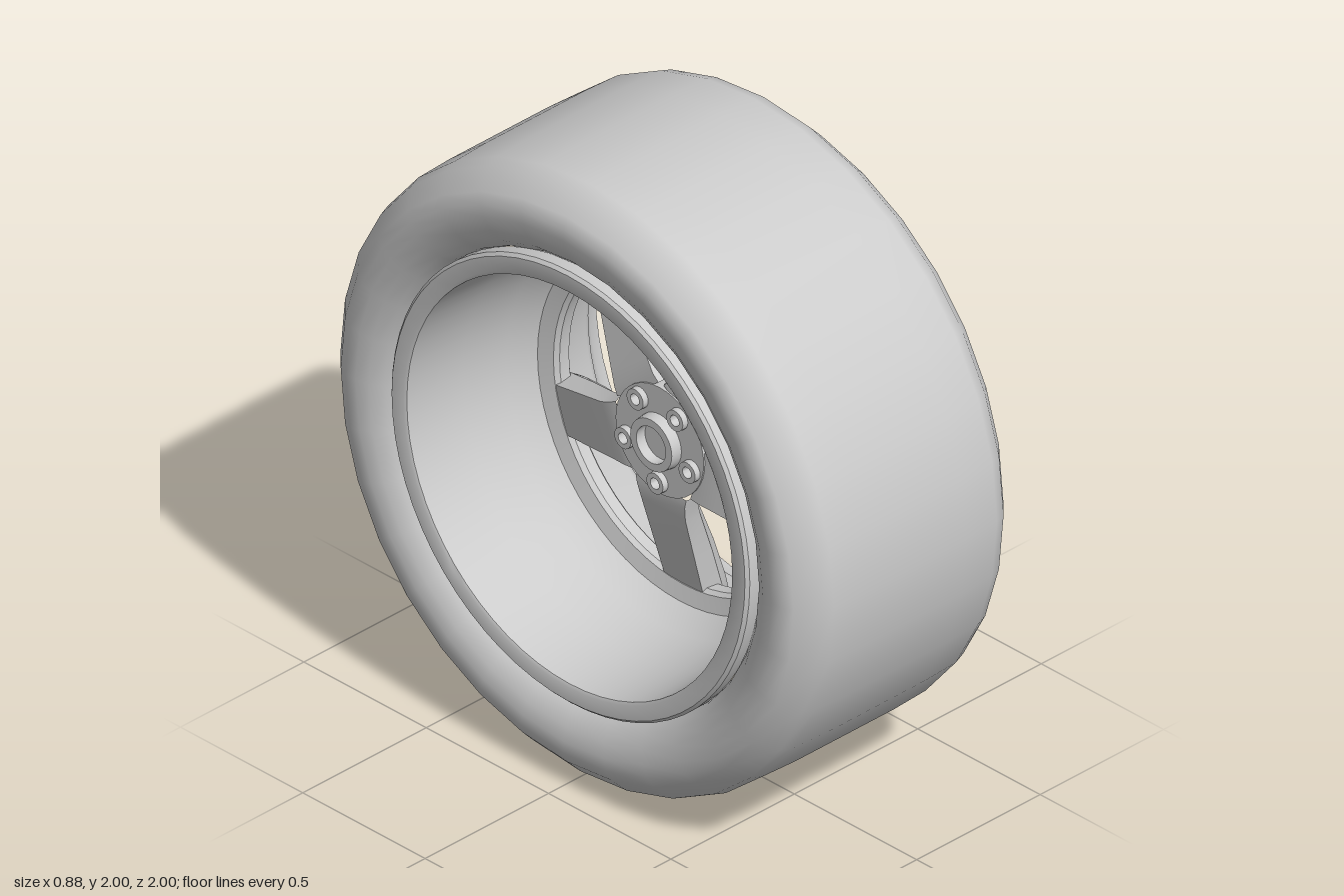
import * as THREE from 'three';
import { toCreasedNormals } from 'three/addons/utils/BufferGeometryUtils.js';

const mat = new THREE.MeshStandardMaterial({ color: 0xcccccc });
const SPOKES = 5;

function add(parent, name, geo) {
  const mesh = new THREE.Mesh(geo, mat);
  mesh.name = name;
  parent.add(mesh);
  return mesh;
}

// Surface of revolution about the x axis; profile is [x, radius] pairs
function spin(profile, segments, crease) {
  const geo = new THREE.LatheGeometry(profile.map(([x, r]) => new THREE.Vector2(r, x)), segments);
  geo.rotateZ(-Math.PI / 2);
  return crease ? toCreasedNormals(geo, crease) : geo;
}

// Spoke running along +y: sections lofted from the hub to the rim
function spokeGeometry() {
  // radius, front x, back x, half width
  const stations = [
    [0.16, 0.018, -0.045, 0.115],
    [0.19, 0.03, -0.045, 0.108],
    [0.24, 0.055, -0.035, 0.1],
    [0.38, 0.115, 0.005, 0.094],
    [0.52, 0.165, 0.045, 0.088],
    [0.56, 0.175, 0.055, 0.087],
    [0.59, 0.168, 0.06, 0.087],
  ];
  const pos = [], index = [];
  for (const [r, f, b, w] of stations) {
    const ledge = f - (f - b) * 0.42;
    const section = [
      [ledge, w], [f - 0.006, w * 0.66], [f, w * 0.56], [f - 0.01, w * 0.44],
      [f - 0.01, -w * 0.44], [f, -w * 0.56], [f - 0.006, -w * 0.66], [ledge, -w],
      [b, -w * 0.9], [b, w * 0.9],
    ];
    for (const [x, z] of section) pos.push(x, r, z);
  }
  const n = 10, last = (stations.length - 1) * n;
  for (let i = 0; i < last; i += n) {
    for (let j = 0; j < n; j++) {
      const k = (j + 1) % n;
      index.push(i + j, i + k, i + n + k, i + j, i + n + k, i + n + j);
    }
  }
  for (let j = 1; j < n - 1; j++) index.push(last, last + j, last + j + 1);
  const geo = new THREE.BufferGeometry();
  geo.setAttribute('position', new THREE.Float32BufferAttribute(pos, 3));
  geo.setIndex(index);
  geo.computeVertexNormals();
  return toCreasedNormals(geo, 0.45);
}

// Hub plate with bolt holes, facing +x
function hubGeometry() {
  const shape = new THREE.Shape().absarc(0, 0, 0.18, 0, Math.PI * 2);
  for (let i = 0; i < SPOKES; i++) {
    const a = -Math.PI / 2 + (i * 2 * Math.PI) / SPOKES;
    const hole = new THREE.Path();
    hole.absarc(0.138 * Math.cos(a), 0.138 * Math.sin(a), 0.018, 0, Math.PI * 2, true);
    shape.holes.push(hole);
  }
  const geo = new THREE.ExtrudeGeometry(shape, { depth: 0.07, bevelEnabled: false, curveSegments: 20 });
  geo.rotateY(Math.PI / 2);
  geo.translate(-0.05, 0, 0);
  return toCreasedNormals(geo, 0.5);
}

export function createModel() {
  const model = new THREE.Group();
  model.name = 'wheel';
  const wheel = new THREE.Group();
  wheel.name = 'wheelAssembly';
  wheel.position.y = 1;
  model.add(wheel);

  // Tyre: mirrored half profile from bead to tread centre
  const half = [[0.34, 0.725], [0.375, 0.737], [0.405, 0.765], [0.43, 0.805], [0.44, 0.85],
    [0.44, 0.89], [0.425, 0.925], [0.37, 0.982], [0.33, 0.995], [0.2, 1]];
  const right = [...half].reverse();
  const left = half.map(([x, r]) => [-x, r]);
  add(wheel, 'tyre', spin([...left, ...right], 32));

  // Rim: closed profile of outer wall, deep front dish, spoke ring and rear barrel
  add(wheel, 'rim', spin([
    [-0.415, 0.665], [-0.42, 0.675], [-0.42, 0.722], [-0.41, 0.732], [-0.37, 0.732], [-0.34, 0.69],
    [0.33, 0.69], [0.34, 0.732], [0.365, 0.735], [0.378, 0.728], [0.378, 0.695], [0.368, 0.682],
    [0.33, 0.672], [0.295, 0.645], [0.28, 0.625], [0.26, 0.615], [0.15, 0.585], [0.115, 0.568],
    [0.112, 0.535], [0.1, 0.522], [0.06, 0.52], [0.045, 0.53], [0.03, 0.58],
    [-0.05, 0.625], [-0.2, 0.65], [-0.415, 0.665],
  ], 64, 0.5));

  // Hub, centre cap and rear bore
  add(wheel, 'hub', hubGeometry());
  add(wheel, 'centreCap', spin([[0, 0.085], [0.034, 0.085], [0.04, 0.078], [0.042, 0]], 32, 0.5));
  add(wheel, 'rearBore', spin([
    [-0.03, 0.06], [-0.085, 0.06], [-0.085, 0.085], [-0.04, 0.09],
  ].map(([x, r]) => [x, r]), 32, 0.5));

  // Spokes with a bolt seat at each root
  const spoke = spokeGeometry();
  const seat = spin([
    [-0.07, 0.018], [-0.07, 0.034], [0.026, 0.036], [0.034, 0.032], [0.034, 0.026],
    [0.024, 0.018], [-0.07, 0.018],
  ], 20, 0.5);
  for (let i = 0; i < SPOKES; i++) {
    const arm = new THREE.Group();
    arm.name = 'spokeArm' + (i + 1);
    arm.rotation.x = Math.PI + (i * 2 * Math.PI) / SPOKES;
    add(arm, 'spoke', spoke);
    add(arm, 'boltSeat', seat).position.y = 0.138;
    wheel.add(arm);
  }
  return model;
}
